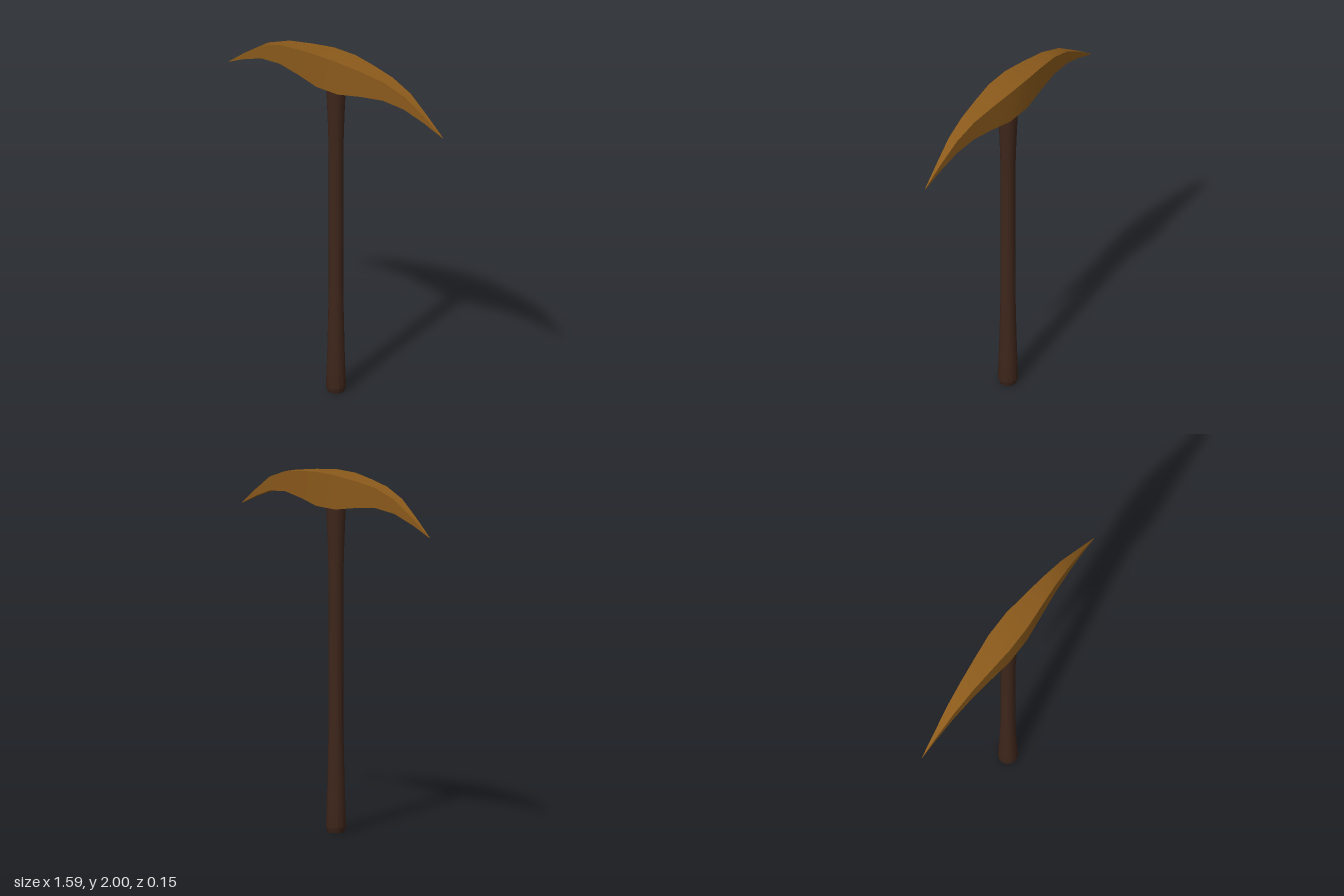
import * as THREE from 'three';
import { toCreasedNormals } from 'three/addons/utils/BufferGeometryUtils.js';

// Curved pick head: rectangular sections [x, bottom, top, half depth], mirrored in x
function headGeometry() {
  const half = [
    [0.08, 1.81, 2.0, 0.073],
    [0.23, 1.835, 1.985, 0.058],
    [0.385, 1.852, 1.963, 0.042],
    [0.53, 1.836, 1.914, 0.028],
    [0.667, 1.788, 1.827, 0.013],
    [0.796, 1.732, 1.735, 0.001],
  ];
  const sections = [
    ...half.slice().reverse().map(([x, ...rest]) => [-x, ...rest]),
    ...half,
  ];
  const positions = [];
  const index = [];
  const quad = (a, b, c, d) => index.push(a, b, c, a, c, d);
  sections.forEach(([x, bottom, top, depth], i) => {
    positions.push(x, bottom, depth, x, top, depth, x, top, -depth, x, bottom, -depth);
    if (i === 0) return;
    const p = (i - 1) * 4;
    const q = i * 4;
    for (let k = 0; k < 4; k++) {
      const n = (k + 1) % 4;
      quad(p + k, q + k, q + n, p + n);
    }
  });
  // Tiny caps at the two points
  const e = (sections.length - 1) * 4;
  quad(0, 1, 2, 3);
  quad(e + 3, e + 2, e + 1, e);
  const geometry = new THREE.BufferGeometry();
  geometry.setAttribute('position', new THREE.Float32BufferAttribute(positions, 3));
  geometry.setIndex(index);
  return toCreasedNormals(geometry, Math.PI / 6);
}

// Round handle, flared at the grip end and under the head
function handleGeometry() {
  const profile = [
    [0, 0], [0.046, 0], [0.057, 0.03], [0.05, 0.2], [0.045, 0.41],
    [0.041, 0.6], [0.041, 1.43], [0.047, 1.62], [0.055, 1.81], [0.055, 1.84], [0, 1.84],
  ].map(([r, y]) => new THREE.Vector2(r, y));
  return toCreasedNormals(new THREE.LatheGeometry(profile, 12), Math.PI / 5);
}

export function createModel() {
  const model = new THREE.Group();
  model.name = 'pickaxe';

  const add = (name, geometry, color) => {
    const mesh = new THREE.Mesh(geometry, new THREE.MeshStandardMaterial({ color }));
    mesh.name = name;
    model.add(mesh);
  };
  add('pickHead', headGeometry(), 0x8b5a1b);
  add('handle', handleGeometry(), 0x3e261b);

  return model;
}
